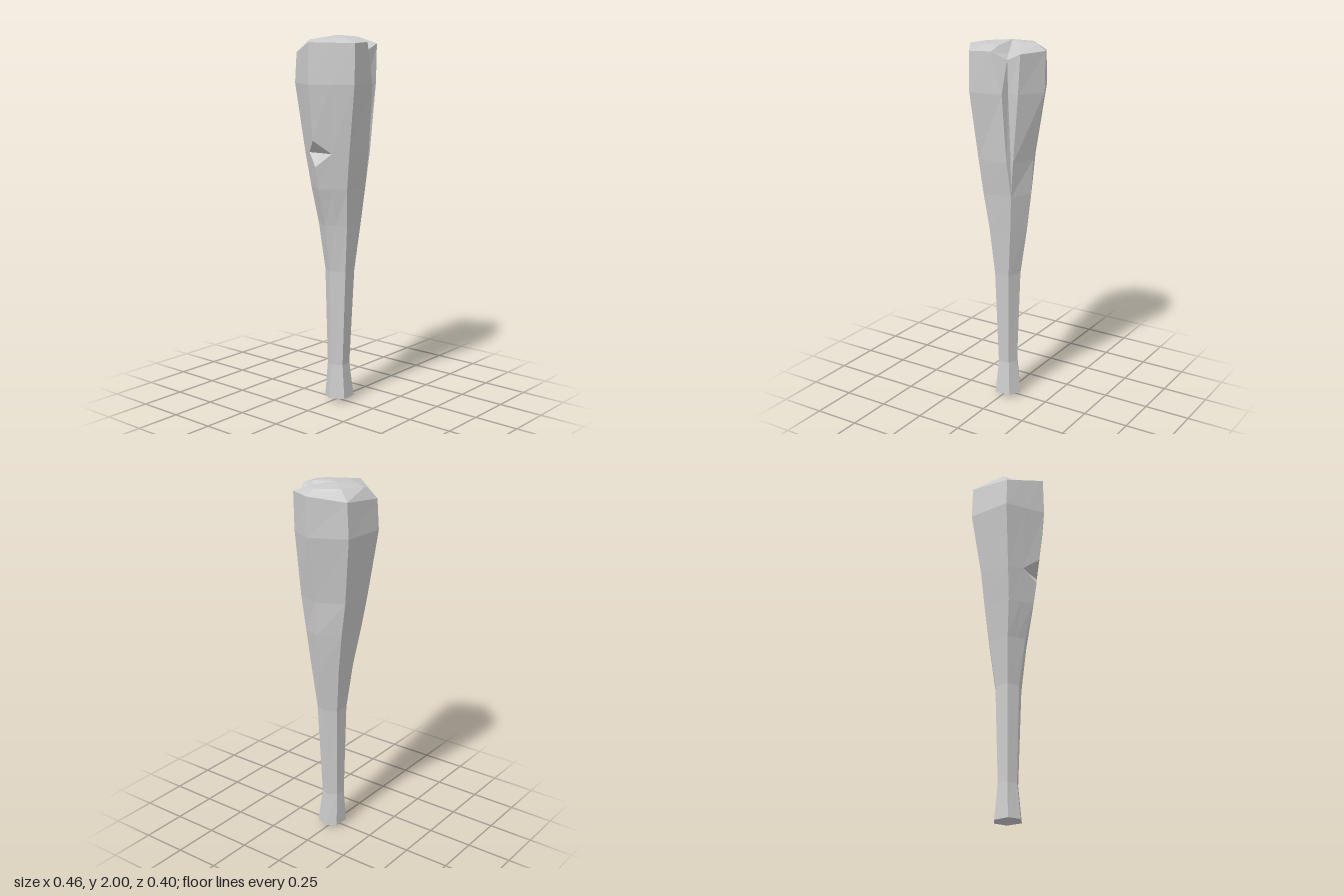
import * as THREE from 'three';

// Rough hexagonal section: unit multipliers for the left/right/front/back extents.
// Order: left side, back corners, right side, front corners (counterclockwise from above).
const HEX = [[1, 0.02], [0.57, -0.93], [-0.48, -1], [-1, 0], [-0.44, 1], [0.63, 0.93]];

// Body rows: y, reach to -x, +x, +z, -z, and the split as [x, z] of lip, bottom, lip
const ROWS = [
  { y: 0.02, r: [0.07, 0.09, 0.075, 0.06] },
  { y: 0.21, r: [0.05, 0.065, 0.055, 0.05] },
  { y: 0.74, r: [0.065, 0.085, 0.08, 0.06] },
  { y: 1.0, r: [0.105, 0.125, 0.105, 0.09] },
  { y: 1.2, r: [0.16, 0.15, 0.125, 0.12] },
  // three rows that share one height, except at the notched corner
  { y: 1.39, r: [0.19, 0.16, 0.15, 0.15], split: [[0.085, 0.145], [0.095, 0.12], [0.115, 0.13]], notch: [-0.18, 1.32] },
  { y: 1.39, r: [0.19, 0.16, 0.15, 0.15], split: [[0.085, 0.145], [0.095, 0.12], [0.115, 0.13]], notch: [-0.135, 1.39] },
  { y: 1.39, r: [0.19, 0.16, 0.15, 0.15], split: [[0.085, 0.145], [0.095, 0.12], [0.115, 0.13]], notch: [-0.2, 1.46] },
  { y: 1.75, r: [0.235, 0.225, 0.2, 0.2], split: [[0.075, 0.175], [0.085, 0.13], [0.15, 0.14]] },
  { y: 1.95, r: [0.23, 0.228, 0.2, 0.19], split: [[0.02, 0.185], [0.083, 0.135], [0.16, 0.137]],
    rim: [1.96, 1.935, 1.91, 1.965, 1.96, 1.965, 1.92, 1.955] },
];

// Inner ring of the domed top
const CROWN = [
  [0.175, 1.99, -0.01], [0.09, 1.985, -0.11], [-0.055, 1.975, -0.15], [-0.13, 1.985, -0.005],
  [-0.07, 1.985, 0.11], [0.02, 1.985, 0.12], [0.06, 1.94, 0.09], [0.12, 1.985, 0.065],
];

const V = (x, y, z) => new THREE.Vector3(x, y, z);

// Adds a point on each face beside the notched corner, so the notch stays local
function withFlanks(points, corner = points[3]) {
  const before = points[2].clone().lerp(points[3], 0.5);
  const after = points[3].clone().lerp(points[4], 0.5);
  return [...points.slice(0, 3), before, corner, after, ...points.slice(4)];
}

function bodyRing({ y, r: [left, right, front, back], split, notch, rim }) {
  const hex = HEX.map(([u, w]) => V(u * (u > 0 ? right : left), y, w * (w > 0 ? front : back)));
  const last = hex.pop();
  const groove = split ? split.map(([x, z]) => V(x, y, z)) : [last, last, last];
  const points = [...hex, ...groove];
  if (rim) points.forEach((p, i) => { p.y = rim[i]; });
  return withFlanks(points, notch && V(notch[0], notch[1], 0));
}

function clubGeometry() {
  const positions = [];
  const triangle = (a, b, c) => {
    const area = b.clone().sub(a).cross(c.clone().sub(a)).length();
    if (area > 1e-7) for (const p of [a, b, c]) positions.push(p.x, p.y, p.z);
  };

  const rings = ROWS.map(bodyRing);
  rings.push(withFlanks(CROWN.map((p) => V(...p))));
  const n = rings[0].length;

  // Skin between neighbouring rings
  for (let k = 0; k < rings.length - 1; k++) {
    for (let i = 0; i < n; i++) {
      const j = (i + 1) % n;
      const [lo, hi] = [rings[k], rings[k + 1]];
      triangle(lo[i], lo[j], hi[j]);
      triangle(lo[i], hi[j], hi[i]);
    }
  }

  // Butt and crown caps
  const butt = V(0.01, 0, 0.005);
  const peak = V(0.02, 2, -0.02);
  const top = rings[rings.length - 1];
  for (let i = 0; i < n; i++) {
    const j = (i + 1) % n;
    triangle(rings[0][j], rings[0][i], butt);
    triangle(top[i], top[j], peak);
  }

  const geometry = new THREE.BufferGeometry();
  geometry.setAttribute('position', new THREE.Float32BufferAttribute(positions, 3));
  geometry.computeVertexNormals();
  return geometry;
}

export function createModel() {
  const group = new THREE.Group();
  group.name = 'woodenClub';
  const material = new THREE.MeshStandardMaterial({ color: 0xcccccc, flatShading: true });
  const club = new THREE.Mesh(clubGeometry(), material);
  club.name = 'clubBody';
  group.add(club);
  return group;
}
